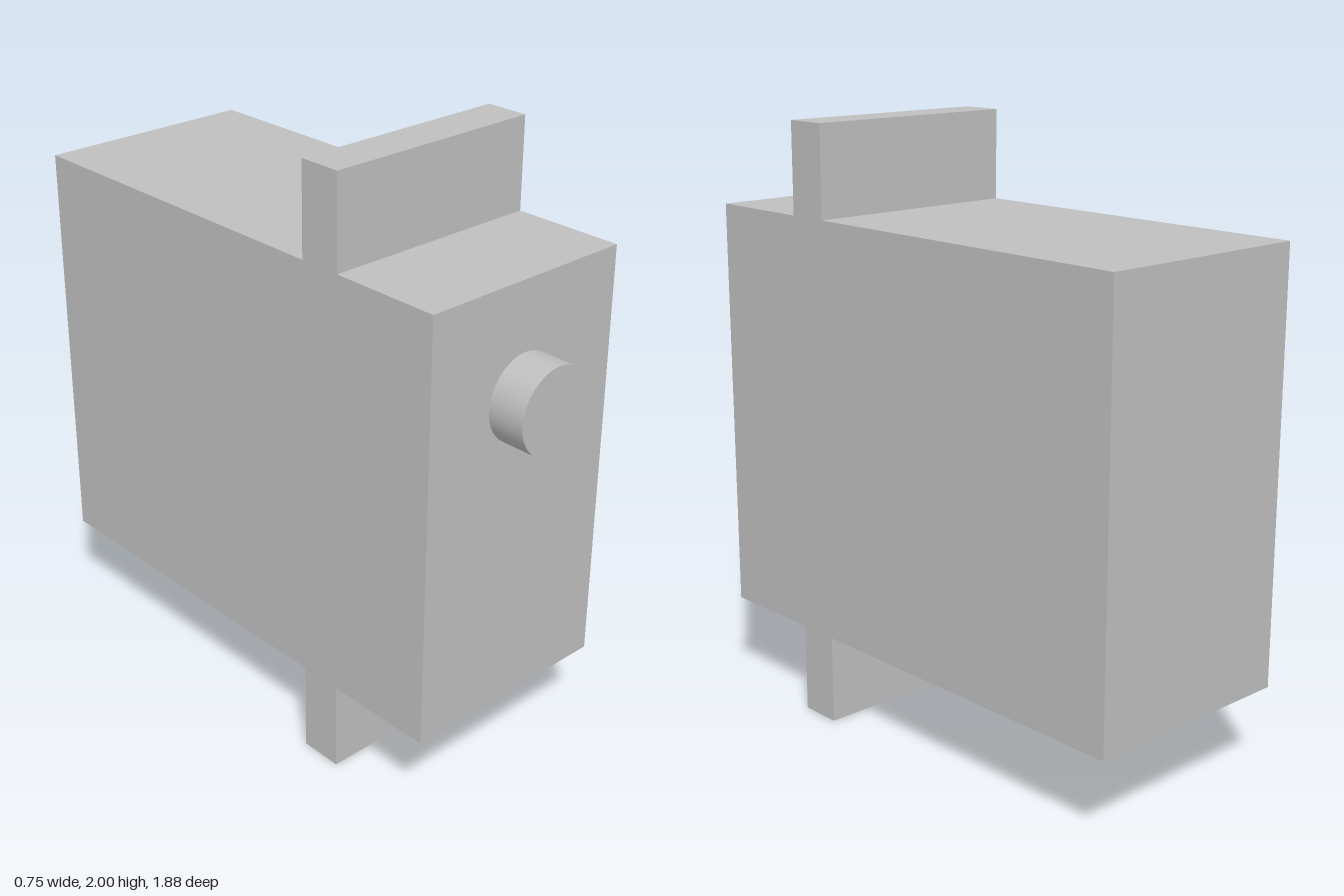
import * as THREE from 'three';

export function createModel() {
  const model = new THREE.Group();
  const grey = new THREE.MeshStandardMaterial({ color: 0xbfbfbf });
  grey.name = 'light grey';

  const width = 0.75;
  const back = -0.94, front = 0.814;            // housing ends along z
  const flangeBack = 0.295, flangeFront = 0.44; // mounting flange along z
  const bottom = 0.3, top = 1.7;

  // Housing with top and bottom mounting flanges: one side profile (z, y) extruded across x
  const profile = new THREE.Shape([
    [back, bottom], [flangeBack, bottom], [flangeBack, 0], [flangeFront, 0],
    [flangeFront, bottom], [front, bottom], [front, top], [flangeFront, top],
    [flangeFront, 2], [flangeBack, 2], [flangeBack, top], [back, top],
  ].map(([z, y]) => new THREE.Vector2(z, y)));
  const housingGeometry = new THREE.ExtrudeGeometry(profile, { depth: width, bevelEnabled: false });
  housingGeometry.translate(0, 0, -width / 2).rotateY(-Math.PI / 2);
  const housing = new THREE.Mesh(housingGeometry, grey);
  housing.name = 'housingWithFlanges';
  model.add(housing);

  // Round output shaft on the front face
  const shaftLength = 0.94 - front;
  const shaft = new THREE.Mesh(
    new THREE.CylinderGeometry(0.14, 0.14, shaftLength, 64).rotateX(Math.PI / 2), grey);
  shaft.position.set(0, 1.335, front + shaftLength / 2);
  shaft.name = 'outputShaft';
  model.add(shaft);

  return model;
}
